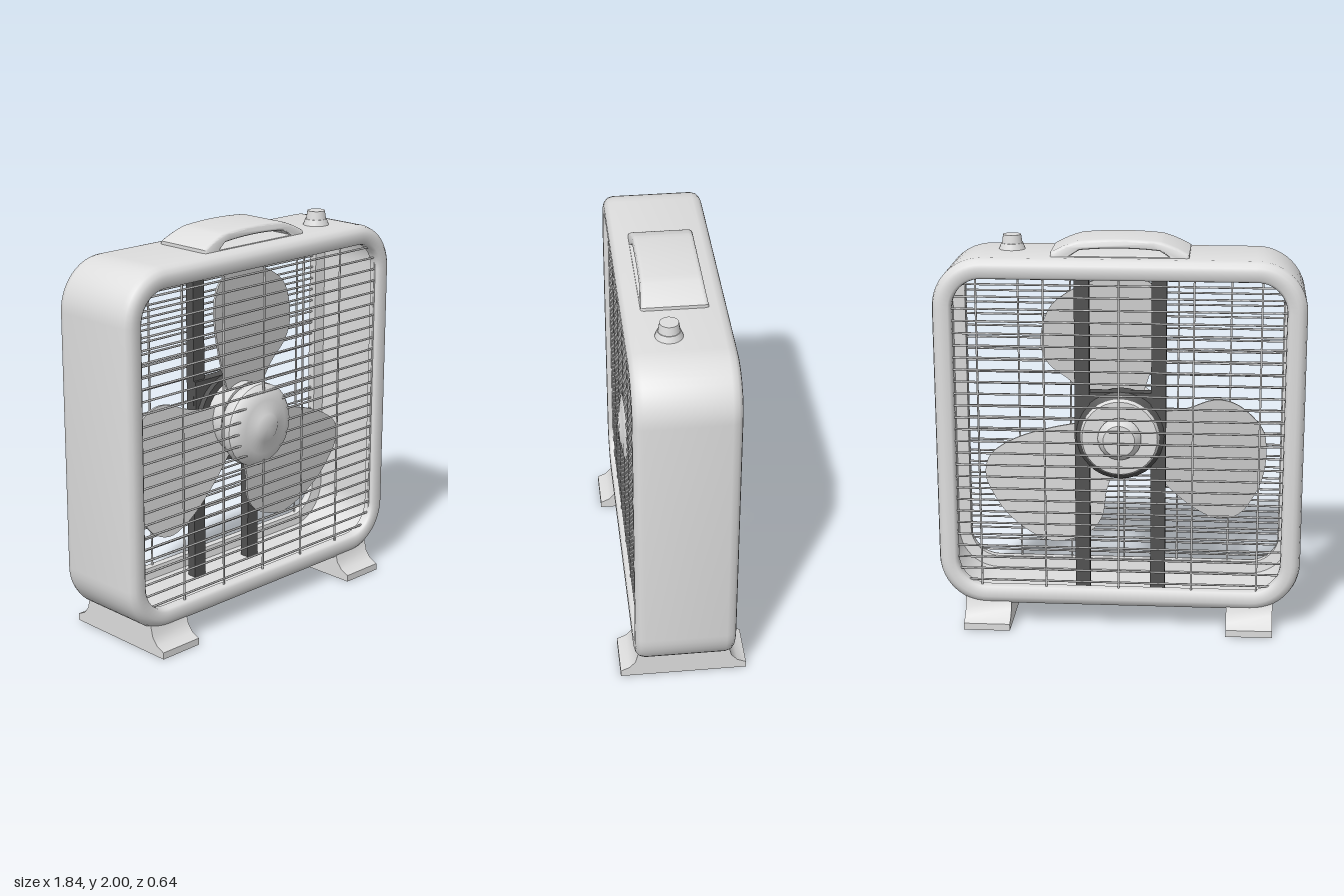
import * as THREE from 'three';
import { toCreasedNormals, mergeGeometries } from 'three/addons/utils/BufferGeometryUtils.js';

const plastic = new THREE.MeshStandardMaterial({ color: 0xdedede });
plastic.name = 'light grey plastic';
const wire = new THREE.MeshStandardMaterial({ color: 0xcacaca });
wire.name = 'grey wire';
const blade = new THREE.MeshStandardMaterial({ color: 0xd2d2d2, side: THREE.DoubleSide });
blade.name = 'grey blade';
const dark = new THREE.MeshStandardMaterial({ color: 0x525252 });
dark.name = 'dark grey metal';

const CY = 1.01; // height of the housing centre

function add(parent, name, geometry, material, x = 0, y = 0, z = 0) {
  const mesh = new THREE.Mesh(geometry, material);
  mesh.name = name;
  mesh.position.set(x, y, z);
  parent.add(mesh);
  return mesh;
}

// Hollow housing: a thin wall with front and back lips, swept round a rounded rectangle
function buildHousing() {
  const front = [[0, 0.2], [0.008, 0.228], [0.028, 0.245], [0.045, 0.25], [0.085, 0.25], [0.097, 0.24],
    [0.1, 0.225], [0.1, 0.195], [0.04, 0.185]]; // inset from the outside, z
  const profile = [...front, ...[...front].reverse().map(([inset, z]) => [inset, -z])];
  const radius = 0.25, steps = 12;
  const corners = [[0.67, -0.65], [0.67, 0.65], [-0.67, 0.65], [-0.67, -0.65]];
  const positions = [], index = [];
  corners.forEach(([cx, cy], c) => {
    for (let k = 0; k <= steps; k++) {
      const a = (c - 1 + k / steps) * Math.PI / 2;
      for (const [inset, z] of profile) {
        const r = radius - inset;
        positions.push(cx + r * Math.cos(a), cy + r * Math.sin(a), z);
      }
    }
  });
  const n = profile.length, rings = corners.length * (steps + 1);
  for (let i = 0; i < rings; i++) {
    for (let j = 0; j < n; j++) {
      const i2 = (i + 1) % rings, j2 = (j + 1) % n;
      const a = i * n + j, b = i2 * n + j, c = i2 * n + j2, d = i * n + j2;
      index.push(a, b, c, a, c, d);
    }
  }
  const g = new THREE.BufferGeometry();
  g.setAttribute('position', new THREE.Float32BufferAttribute(positions, 3));
  g.setIndex(index);
  return toCreasedNormals(g, 0.8);
}

// Wire guard: many horizontal wires tied by a few uprights
function buildGrille(uprights) {
  const parts = [];
  for (let i = 0; i < 26; i++) {
    const g = new THREE.CylinderGeometry(0.0055, 0.0055, 1.7, 6);
    g.rotateZ(Math.PI / 2);
    parts.push(g.translate(0, 0.24 + i * 0.0617, 0));
  }
  for (const x of uprights) {
    const g = new THREE.CylinderGeometry(0.0055, 0.0055, 1.67, 6);
    parts.push(g.translate(x, CY, 0));
  }
  return mergeGeometries(parts);
}

// Broad rounded paddle, tilted about its radius
function buildBlade() {
  const pts = [[0.13, 0.08], [0.25, 0.23], [0.37, 0.33], [0.41, 0.45], [0.37, 0.61], [0.27, 0.7], [0.13, 0.76],
    [0, 0.775], [-0.11, 0.76], [-0.19, 0.68], [-0.2, 0.52], [-0.16, 0.33], [-0.1, 0.15]];
  const curve = new THREE.SplineCurve(pts.map(p => new THREE.Vector2(...p)));
  const g = new THREE.ExtrudeGeometry(new THREE.Shape(curve.getPoints(48)), { depth: 0.012, bevelEnabled: false });
  const p = g.attributes.position;
  for (let i = 0; i < p.count; i++) p.setZ(i, p.getZ(i) + 0.045 - 0.12 * p.getX(i));
  return toCreasedNormals(g, 0.6);
}

// Lathe whose axis points along +z
function latheZ(points, segments = 32) {
  const g = new THREE.LatheGeometry(points.map(p => new THREE.Vector2(...p)), segments);
  g.rotateX(Math.PI / 2);
  return toCreasedNormals(g, 0.6);
}

// Foot: side profile that flares at the floor, run across x
function buildFoot() {
  const half = [[0.32, 0], [0.32, 0.035], [0.275, 0.055], [0.245, 0.09], [0.23, 0.148]];
  const s = new THREE.Shape();
  s.moveTo(-half[0][0], 0);
  half.forEach(([z, y]) => s.lineTo(z, y));
  [...half].reverse().forEach(([z, y]) => s.lineTo(-z, y));
  const g = new THREE.ExtrudeGeometry(s, { depth: 0.236, bevelEnabled: false });
  g.translate(0, 0, -0.118);
  g.rotateY(Math.PI / 2);
  return toCreasedNormals(g, 0.6);
}

// Arched carrying handle with a finger slot, narrowing towards the top
function buildHandle() {
  const s = new THREE.Shape();
  s.moveTo(-0.33, 1.89);
  s.lineTo(-0.33, 1.92);
  s.quadraticCurveTo(-0.27, 1.955, -0.2, 1.975);
  s.quadraticCurveTo(0, 1.995, 0.2, 1.975);
  s.quadraticCurveTo(0.27, 1.955, 0.33, 1.92);
  s.lineTo(0.33, 1.89);
  const hole = new THREE.Path();
  hole.moveTo(-0.25, 1.914);
  hole.lineTo(0.25, 1.914);
  hole.lineTo(0.2, 1.952);
  hole.quadraticCurveTo(0, 1.972, -0.2, 1.952);
  hole.closePath();
  s.holes.push(hole);
  const g = new THREE.ExtrudeGeometry(s, {
    depth: 0.26, bevelSize: 0.011, bevelThickness: 0.02, bevelSegments: 3, curveSegments: 12,
  });
  g.translate(0, 0, -0.13);
  const p = g.attributes.position;
  for (let i = 0; i < p.count; i++) p.setZ(i, p.getZ(i) * (1.08 - 1.3 * (p.getY(i) - 1.9)));
  return toCreasedNormals(g, 0.7);
}

export function createModel() {
  const model = new THREE.Group();
  model.name = 'boxFan';

  add(model, 'housing', buildHousing(), plastic, 0, CY, 0);
  add(model, 'handle', buildHandle(), plastic);
  for (const side of [-1, 1]) add(model, side > 0 ? 'leftFoot' : 'rightFoot', buildFoot(), plastic, side * 0.668, 0, 0);

  // Speed knob on the top
  const knob = new THREE.Group();
  knob.name = 'speedKnob';
  knob.position.set(0.55, 1.9, 0.05);
  add(knob, 'knobBase', new THREE.CylinderGeometry(0.055, 0.07, 0.04, 20), plastic, 0, 0.02, 0);
  add(knob, 'knobGrip', new THREE.CylinderGeometry(0.045, 0.052, 0.045, 20), plastic, 0, 0.06, 0);
  model.add(knob);

  // Guards on both faces
  add(model, 'frontGrille', buildGrille([-0.82, -0.55, -0.28, 0, 0.28, 0.55, 0.82]), wire, 0, 0, 0.22);
  add(model, 'backGrille', buildGrille([-0.7, -0.37, 0, 0.37, 0.7]), wire, 0, 0, -0.22);

  // Motor and its supports
  for (const side of [-1, 1]) {
    add(model, 'supportPost', new THREE.BoxGeometry(0.075, 1.75, 0.05), dark, side * 0.193, CY, -0.07);
  }
  add(model, 'motorBracket', new THREE.BoxGeometry(0.46, 0.2, 0.06), dark, 0, 1.11, -0.06);
  add(model, 'motorBody', latheZ([[0, -0.12], [0.2, -0.12], [0.228, -0.09], [0.228, 0], [0, 0]]), dark, 0, 0.985, 0);
  add(model, 'motorBackPlate', latheZ([[0, -0.14], [0.19, -0.14], [0.205, -0.11], [0, -0.11]]), plastic, 0, 0.985, 0);
  add(model, 'motorCap', latheZ([[0, -0.2], [0.08, -0.195], [0.11, -0.15], [0, -0.13]]), plastic, 0, 0.985, 0);

  // Rotor
  const rotor = new THREE.Group();
  rotor.name = 'rotor';
  rotor.position.set(0, 1, 0);
  const bladeGeometry = buildBlade();
  for (let i = 0; i < 3; i++) {
    add(rotor, 'blade', bladeGeometry, blade).rotation.z = i * Math.PI * 2 / 3;
  }
  add(rotor, 'rotorHub', latheZ([[0, 0], [0.18, 0], [0.19, 0.11], [0, 0.11]]), plastic);
  model.add(rotor);

  // Domed hub cover in the front guard
  add(model, 'hubCover', latheZ([[0, 0.12], [0.2, 0.12], [0.215, 0.15], [0.213, 0.19], [0.19, 0.218], [0.14, 0.235],
    [0.08, 0.243], [0.07, 0.25], [0, 0.253]]), plastic, 0, 0.985, 0);

  return model;
}
